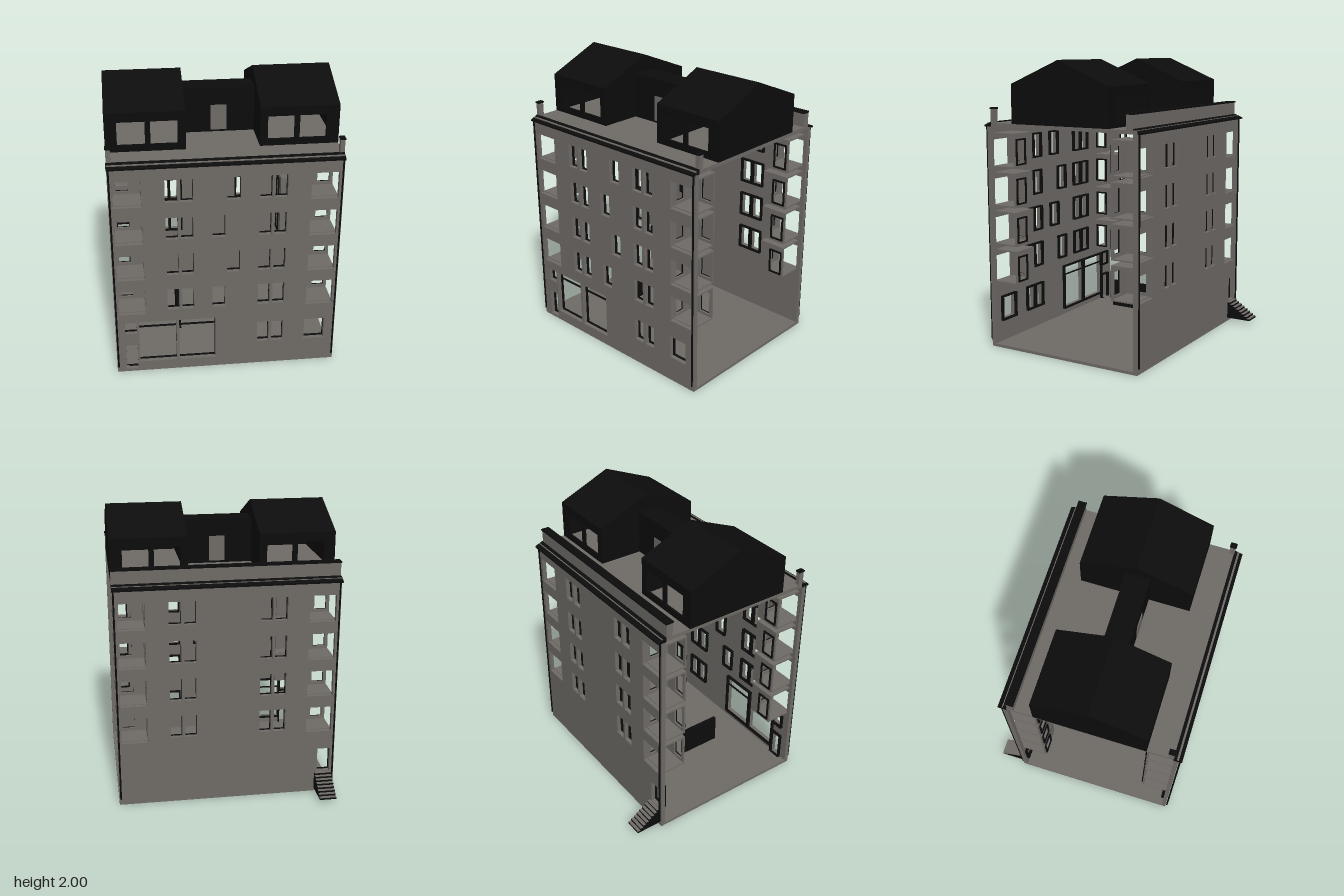
import * as THREE from 'three';

const gray = new THREE.MeshStandardMaterial({ color: 0x6f6b67 });
gray.name = 'grayPlaster';
const black = new THREE.MeshStandardMaterial({ color: 0x0c0c0c });
black.name = 'blackTrim';

export function createModel() {
  const model = new THREE.Group();
  model.name = 'apartmentBuilding';

  const add = (name, geo, mat) => {
    const mesh = new THREE.Mesh(geo, mat);
    mesh.name = name;
    model.add(mesh);
    return mesh;
  };
  // Box from minimum and maximum corners
  const box = (name, mat, x0, x1, y0, y1, z0, z1) => {
    const geo = new THREE.BoxGeometry(x1 - x0, y1 - y0, z1 - z0);
    geo.translate((x0 + x1) / 2, (y0 + y1) / 2, (z0 + z1) / 2);
    return add(name, geo, mat);
  };
  // Rectangular panel with rectangular holes [a0, a1, y0, y1], facing z
  const panelGeo = ([a0, a1, y0, y1], holes, depth) => {
    const trace = (p, l, r, b, t) => p.moveTo(l, b).lineTo(r, b).lineTo(r, t).lineTo(l, t).lineTo(l, b);
    const shape = trace(new THREE.Shape(), a0, a1, y0, y1);
    for (const h of holes) shape.holes.push(trace(new THREE.Path(), ...h));
    return new THREE.ExtrudeGeometry(shape, { depth, bevelEnabled: false });
  };
  const wallZ = (name, mat, rect, holes, z0, z1) =>
    add(name, panelGeo(rect, holes, z1 - z0).translate(0, 0, z0), mat);
  const wallX = (name, mat, rect, holes, x0, x1) =>
    add(name, panelGeo(rect, holes, x1 - x0).rotateY(-Math.PI / 2).translate(x1, 0, 0), mat);
  // Profile of [z, y] points swept along x
  const prismX = (name, mat, points, x0, x1) => {
    const shape = new THREE.Shape(points.map(([z, y]) => new THREE.Vector2(z, y)));
    const geo = new THREE.ExtrudeGeometry(shape, { depth: x1 - x0, bevelEnabled: false });
    return add(name, geo.rotateY(-Math.PI / 2).translate(x1, 0, 0), mat);
  };

  const W = 0.76, floors = [0.465, 0.735, 1.005, 1.275];

  // Window groups: each group shares one frame on the inside of the wall
  const pairs = [], loggias = [], stairWindows = [];
  floors.forEach((b, i) => {
    const y0 = b + 0.025, y1 = b + 0.185;
    pairs.push([[-0.4, -0.32, y0, y1], [-0.3, -0.22, y0, y1]]);
    pairs.push([[0.215, 0.295, y0, y1], [0.315, 0.395, y0, y1]]);
    const x = i % 2 ? 0.003 : -0.095;
    stairWindows.push([[x, x + 0.086, y0, y1]]);
    loggias.push([-0.73, -0.55, b, y1], [0.55, 0.73, b, y1]);
  });
  const shopWindows = [
    [[-0.6, -0.345, 0.075, 0.4], [-0.325, -0.075, 0.075, 0.4]],
    [[0.215, 0.295, 0.18, 0.34], [0.315, 0.395, 0.18, 0.34]],
    [[0.545, 0.685, 0.18, 0.34]], [[-0.695, -0.615, 0.31, 0.4]], [[-0.695, -0.615, 0.02, 0.215]],
  ];
  const backDoor = [-0.73, -0.64, 0.155, 0.33];
  const frontGroups = [...pairs, ...stairWindows, ...shopWindows];

  // Facades
  const facade = [-W, W, 0, 1.55];
  wallZ('frontFacade', gray, facade, [...frontGroups.flat(), ...loggias], 0.635, 0.665);
  wallZ('backFacade', gray, facade, [...pairs.flat(), ...loggias, backDoor], -0.515, -0.485);

  // Inner window frames
  const frame = (group, z0, z1) => {
    const m = 0.01;
    const rect = [group[0][0] - m, group[group.length - 1][1] + m, group[0][2] - m, group[0][3] + m];
    wallZ('windowFrame', black, rect, group, z0, z1);
  };
  frontGroups.forEach((g) => frame(g, 0.613, 0.635));
  [...pairs, [backDoor]].forEach((g) => frame(g, -0.485, -0.463));
  box('shopTransom', black, -0.6, -0.075, 0.335, 0.343, 0.618, 0.63);

  // Floor, roof slab and interior partition
  box('groundFloor', gray, -W, W, 0, 0.02, -0.485, 0.635);
  box('roofSlab', gray, -W, W, 1.55, 1.575, -0.515, 0.665);
  box('shopPartition', black, -0.312, -0.288, 0.088, 0.288, 0.005, 0.312);

  // Corner loggias, mirrored left/right and front/back
  for (const b of floors) for (const sx of [-1, 1]) for (const front of [true, false]) {
    const zs = (a, c) => (front ? [a, c] : [0.15 - c, 0.15 - a]);
    const xs = (a, c) => (sx > 0 ? [a, c] : [-c, -a]);
    const top = b + 0.232, wy = [b + 0.025, b + 0.185];
    const m = 0.01, fy = [wy[0] - m, wy[1] + m];
    wallZ('loggiaRearWall', gray, [...xs(0.54, 0.735), b, top], [[...xs(0.63, 0.713), ...wy]], ...zs(0.455, 0.467));
    wallZ('loggiaRearFrame', black, [...xs(0.62, 0.723), ...fy], [[...xs(0.63, 0.713), ...wy]], ...zs(0.445, 0.455));
    wallX('loggiaSideWall', gray, [...zs(0.455, 0.635), b, top], [[...zs(0.533, 0.608), ...wy]], ...xs(0.538, 0.55));
    wallX('loggiaSideFrame', black, [...zs(0.523, 0.618), ...fy], [[...zs(0.533, 0.608), ...wy]], ...xs(0.528, 0.538));
    box('loggiaFloor', gray, ...xs(0.54, 0.735), b - 0.005, b + 0.005, ...zs(0.455, 0.635));
    box('loggiaCeiling', gray, ...xs(0.54, 0.735), top - 0.01, top, ...zs(0.455, 0.635));
  }

  // Sloped eaves
  prismX('frontEave', black, [[0.63, 1.55], [0.688, 1.55], [0.688, 1.56], [0.63, 1.584]], -W - 0.003, W);
  prismX('backEave', black, [[-0.545, 1.55], [-0.485, 1.55], [-0.485, 1.584], [-0.545, 1.56]], -W - 0.003, W);

  // Rear parapet and front corner posts with caps
  box('rearParapet', gray, -W, W, 1.575, 1.67, -0.48, -0.435);
  box('parapetCap', black, -W - 0.003, W, 1.67, 1.68, -0.487, -0.428);
  for (const s of [-1, 1]) {
    const x = s * 0.745;
    box('cornerPost', gray, x - 0.015, x + 0.015, 1.575, 1.67, 0.597, 0.633);
    box('cornerPostCap', black, x - 0.018, x + 0.018, 1.67, 1.68, 0.592, 0.638);
    // Downpipes
    for (const z of [0.674, -0.524]) {
      const pipe = new THREE.CylinderGeometry(0.006, 0.006, 1.51, 8);
      add('downpipe', pipe.translate(s * 0.75, 0.8, z), black);
    }
  }

  // Gabled penthouses with open windows front and back
  const zF = 0.455, zB = -0.305, zM = 0.075, eaveY = 1.84;
  for (const [x0, x1, windows] of [
    [-0.763, -0.243, [[-0.685, -0.505], [-0.47, -0.295]]],
    [0.24, 0.76, [[0.29, 0.465], [0.5, 0.675]]],
  ]) {
    const holes = windows.map(([a, b]) => [a, b, 1.62, 1.777]);
    wallZ('penthouseFrontWall', black, [x0, x1, 1.575, eaveY], holes, zF - 0.015, zF);
    wallZ('penthouseBackWall', black, [x0, x1, 1.575, eaveY], holes, zB, zB + 0.015);
    const gable = [[zB + 0.015, 1.575], [zF - 0.015, 1.575], [zF - 0.015, 1.835], [zM, 1.985], [zB + 0.015, 1.835]];
    prismX('penthouseGable', black, gable, x0, x0 + 0.015);
    prismX('penthouseGable', black, gable, x1 - 0.015, x1);
    const roof = [[zB, eaveY - 0.012], [zM, 1.982], [zF, eaveY - 0.012], [zF, eaveY], [zM, 2], [zB, eaveY]];
    prismX('penthouseRoof', black, roof, x0, x1);
  }

  // Connecting stair head with doors
  box('stairHead', black, -0.243, 0.24, 1.575, 1.885, 0.005, 0.172);
  box('stairHeadDoor', gray, -0.053, 0.055, 1.59, 1.765, 0.172, 0.178);
  box('stairHeadDoor', gray, -0.053, 0.055, 1.59, 1.765, -0.001, 0.005);

  // Back entrance steps
  const steps = 8, run = 0.185 / steps, rise = 0.125 / steps;
  for (let i = 0; i < steps; i++) {
    const z = -0.515 - i * run, y = 0.15 - i * rise;
    box('stepBody', black, -0.74, -0.622, 0.025, y - 0.003, z - run, z);
    box('stepTread', gray, -0.74, -0.622, y - 0.003, y, z - run, z);
  }

  // Centre the depth on the origin
  const group = new THREE.Group();
  group.name = 'building';
  group.add(model);
  return group;
}
